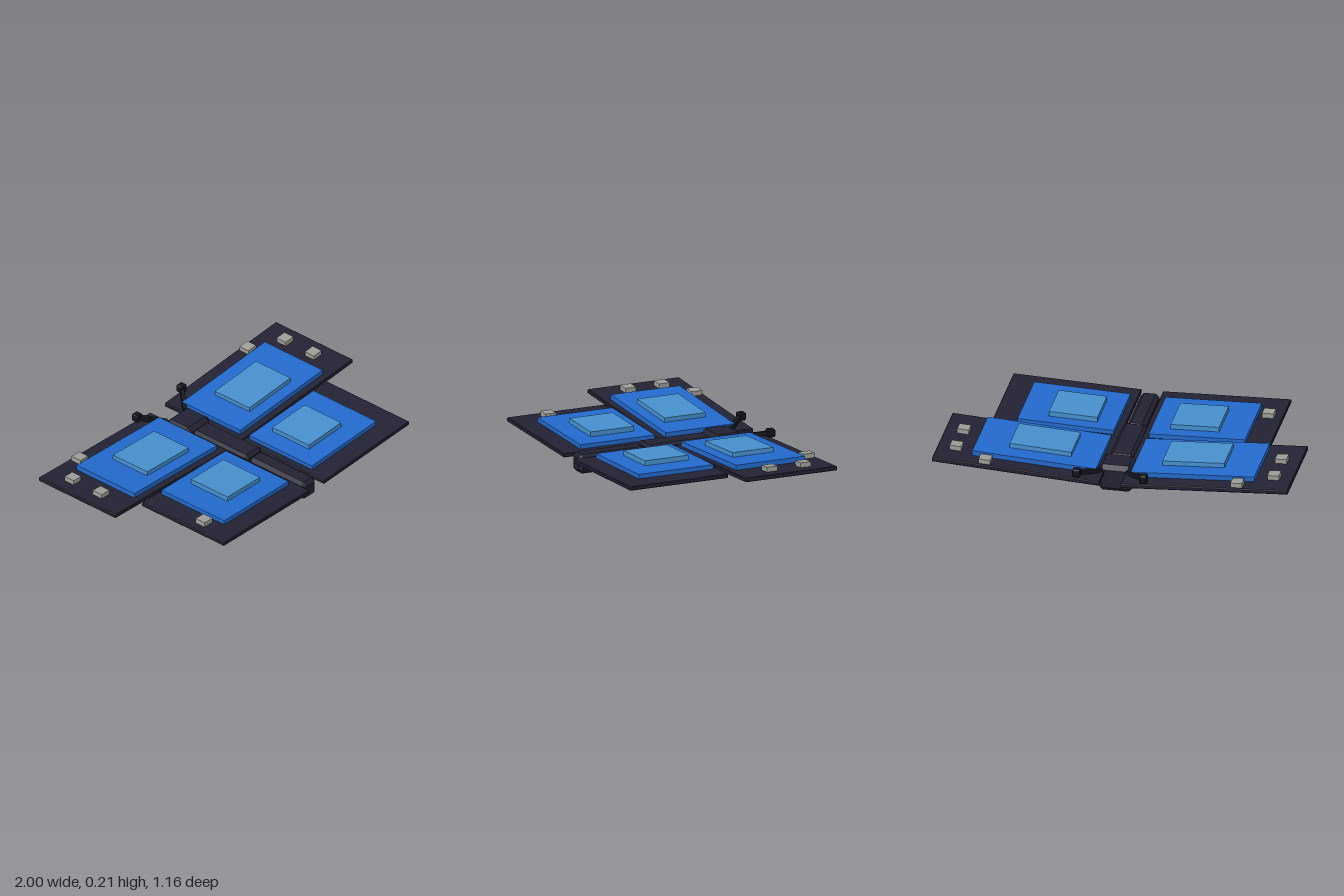
import * as THREE from 'three';
import { ConvexGeometry } from 'three/addons/geometries/ConvexGeometry.js';

const mat = (name, color) => {
  const m = new THREE.MeshStandardMaterial({ color });
  m.name = name;
  return m;
};

// Box whose edges and corners are cut off by c
function chamferBox(w, h, d, c) {
  const pts = [];
  for (const x of [-1, 1]) for (const y of [-1, 1]) for (const z of [-1, 1]) {
    const a = w / 2, b = h / 2, e = d / 2;
    pts.push(
      new THREE.Vector3(x * a, y * (b - c), z * (e - c)),
      new THREE.Vector3(x * (a - c), y * b, z * (e - c)),
      new THREE.Vector3(x * (a - c), y * (b - c), z * e));
  }
  return new ConvexGeometry(pts);
}

export function createModel() {
  const model = new THREE.Group();
  model.name = 'butterfly';
  const dark = mat('dark navy', 0x222233);
  const black = mat('near black', 0x14161e);
  const blue = mat('wing blue', 0x2269cc);
  const light = mat('light blue', 0x468fcc);
  const grey = mat('spot grey', 0x9c9c98);

  const add = (parent, name, geo, material, x, y, z) => {
    const mesh = new THREE.Mesh(geo, material);
    mesh.name = name;
    mesh.position.set(x, y, z);
    parent.add(mesh);
    return mesh;
  };

  // Body segments, head towards -z
  add(model, 'head', chamferBox(0.195, 0.157, 0.175, 0.025), dark, 0, 0.0785, -0.355);
  add(model, 'thorax', chamferBox(0.13, 0.125, 0.4, 0.016), dark, 0, 0.082, -0.07);
  add(model, 'abdomen', chamferBox(0.105, 0.11, 0.41, 0.02), dark, 0, 0.08, 0.33);

  // Each slab is [x0, x1, z0, z1, bottom, top], measured along the wing
  const wings = [
    { name: 'foreWing', slope: 0.0585, spots: [[0.895, -0.42], [0.895, -0.215], [0.71, -0.53]],
      slabs: [[0.06, 1, -0.577, -0.018, 0, 0.024], [0.1, 0.795, -0.48, -0.06, 0.022, 0.052],
        [0.26, 0.607, -0.38, -0.13, 0.05, 0.078]] },
    { name: 'hindWing', slope: 0.034, spots: [[0.7, 0.365]],
      slabs: [[0.06, 0.78, -0.018, 0.58, 0, 0.023], [0.1, 0.64, 0.005, 0.46, 0.021, 0.048],
        [0.208, 0.48, 0.08, 0.345, 0.046, 0.076]] },
  ];
  const layers = [['Base', dark], ['Panel', blue], ['Highlight', light]];

  for (const s of [-1, 1]) {
    const side = s > 0 ? 'left' : 'right';
    for (const w of wings) {
      // Wing raised towards its tip
      const wing = new THREE.Group();
      wing.name = `${side} ${w.name}`;
      wing.position.set(s * 0.06, 0.1, 0);
      wing.rotation.z = s * Math.atan(w.slope);
      model.add(wing);
      w.slabs.forEach(([x0, x1, z0, z1, y0, y1], i) => {
        const geo = i === 0
          ? chamferBox(x1 - x0, y1 - y0, z1 - z0, 0.004)
          : new THREE.BoxGeometry(x1 - x0, y1 - y0, z1 - z0);
        add(wing, w.name + layers[i][0], geo, layers[i][1],
          s * ((x0 + x1) / 2 - 0.06), (y0 + y1) / 2, (z0 + z1) / 2);
      });
      // The hind wing carries a spot on one side only
      if (w.name === 'foreWing' || s < 0) {
        for (const [x, z] of w.spots) {
          add(wing, 'wingSpot', new THREE.BoxGeometry(0.065, 0.028, 0.065), grey,
            s * (x - 0.06), 0.037, z);
        }
      }
    }

    // Antenna: thin stalk with a cube tip
    const from = new THREE.Vector3(s * 0.075, 0.13, -0.44);
    const to = new THREE.Vector3(s * 0.185, 0.165, -0.56);
    const dir = to.clone().sub(from);
    const stalk = add(model, `${side} antennaStalk`,
      new THREE.BoxGeometry(0.024, 0.024, dir.length()), black, 0, 0, 0);
    stalk.position.copy(from).add(to).multiplyScalar(0.5);
    stalk.lookAt(to);
    add(model, `${side} antennaTip`, chamferBox(0.046, 0.046, 0.046, 0.007), black,
      s * 0.187, 0.165, -0.562);
  }
  return model;
}
